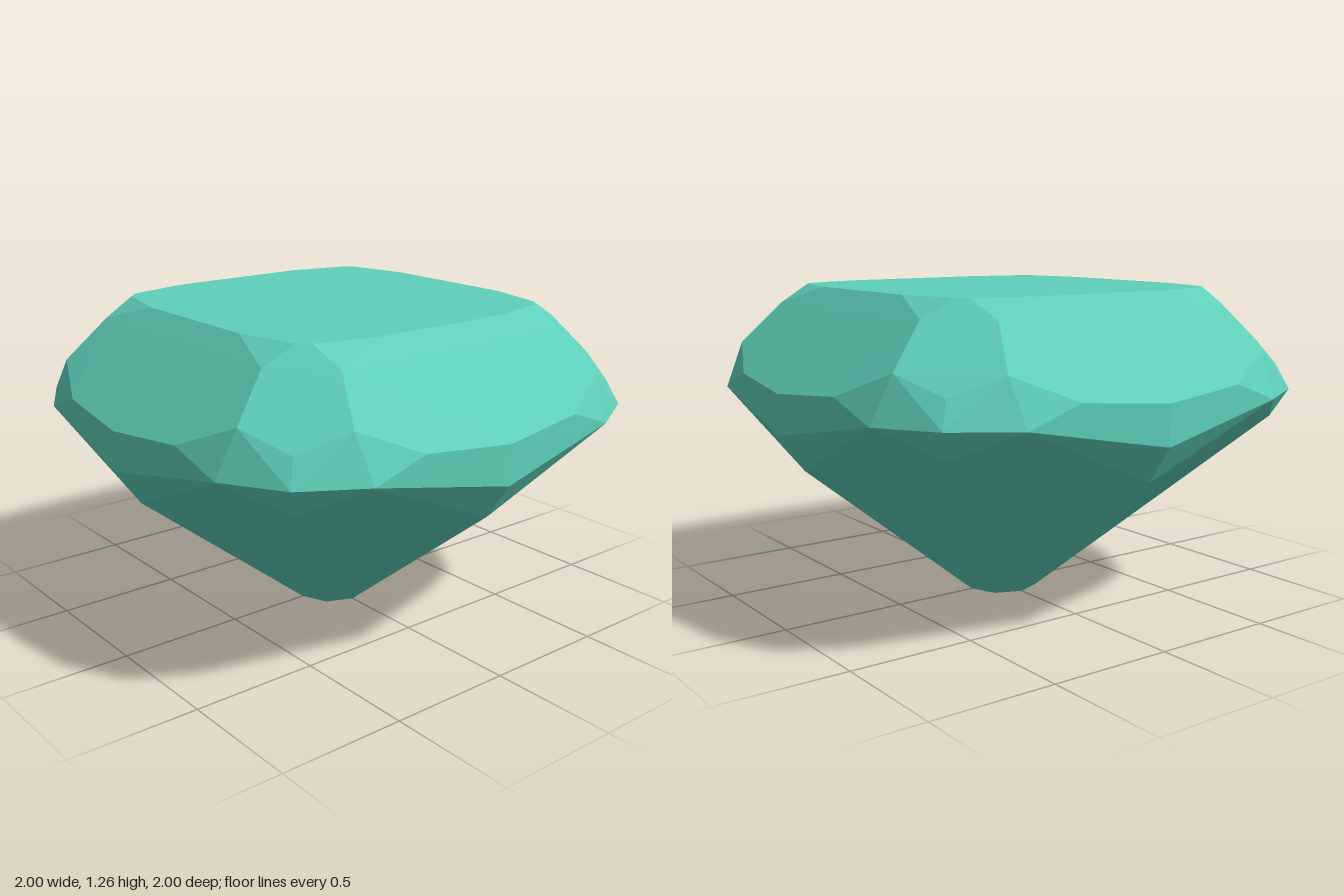
import * as THREE from 'three';
import { ConvexGeometry } from 'three/addons/geometries/ConvexGeometry.js';

// Facet corners of one eighth of the cushion-cut gem: [x, y, z]
const OCTANT = [
  // table and crown
  [0.3, 1.26, 0.65], [0.55, 1.26, 0.59], [0.53, 1.19, 0.72],
  [0.6, 1.03, 0.87], [0.78, 0.96, 0.78],
  // girdle
  [0, 0.9, 1], [0.37, 0.932, 0.968], [0.58, 0.855, 0.95],
  [0.82, 0.86, 0.82], [0, 0.745, 1],
  // pavilion and culet
  [0, 0.6, 0.9], [0.77, 0.75, 0.77], [0, 0, 0.15], [0.106, 0, 0.106],
];

// Mirror the eighth across both axes and the diagonal, without duplicates
function mirroredPoints() {
  const points = new Map();
  for (const [a, y, b] of OCTANT) {
    for (const [x, z] of [[a, b], [b, a]]) {
      for (const sx of [1, -1]) {
        for (const sz of [1, -1]) {
          const p = new THREE.Vector3(x * sx + 0, y, z * sz + 0);
          points.set(`${p.x + 0},${p.y},${p.z + 0}`, p);
        }
      }
    }
  }
  return [...points.values()];
}

export function createModel() {
  const teal = new THREE.MeshStandardMaterial({ color: 0x5fd0ba });
  teal.name = 'teal';

  // The cut stone is convex, so its facets are the hull of its corners
  const gem = new THREE.Mesh(new ConvexGeometry(mirroredPoints()), teal);
  gem.name = 'gemstone';

  const group = new THREE.Group();
  group.name = 'cushionCutGem';
  group.add(gem);
  return group;
}
